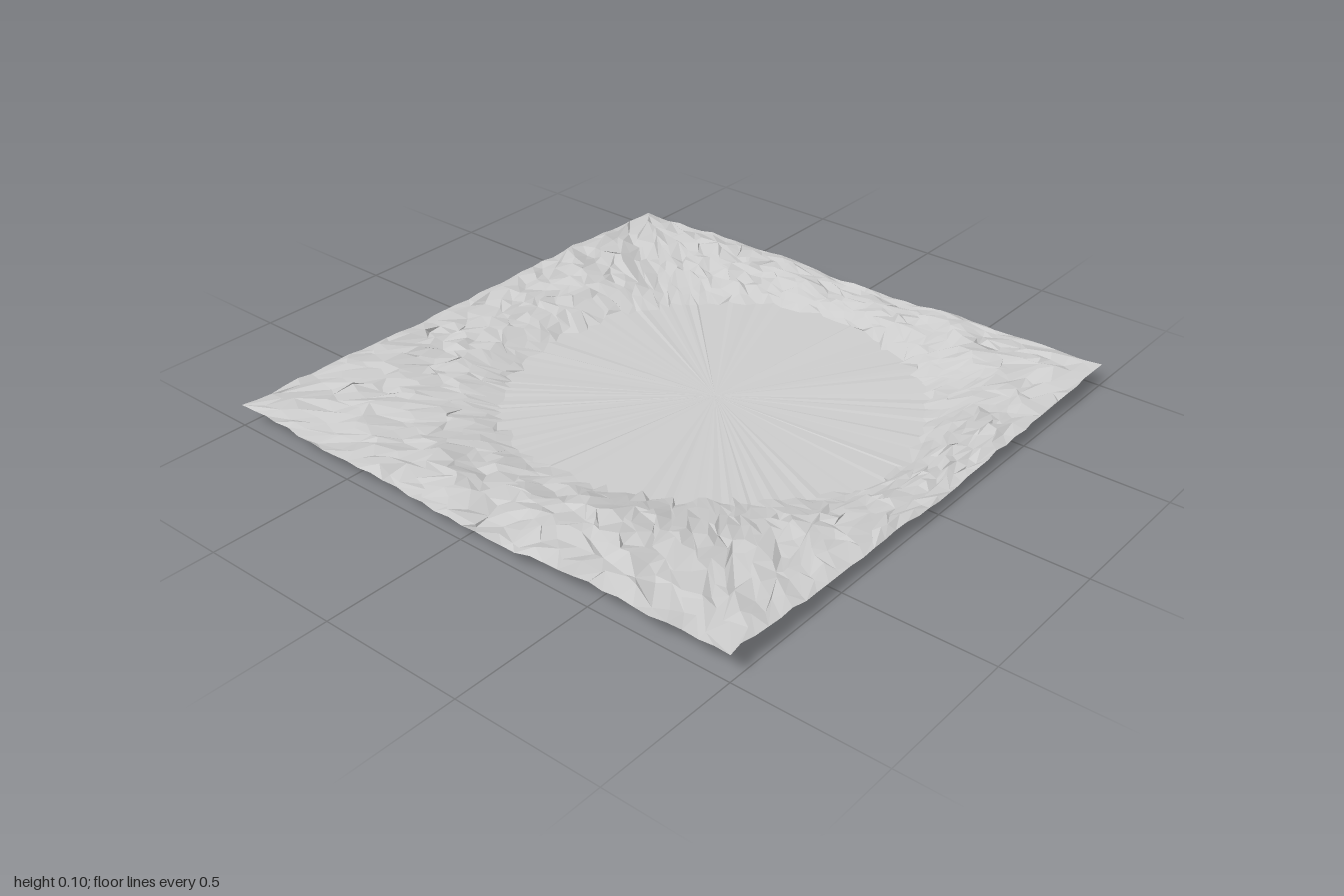
import * as THREE from 'three';

const SPOKES = 144, RINGS = 10;
const CENTRE = { x: 0.05, z: -0.12 };

// basin radius every 22.5 degrees, from +x towards +z
const basinRadius = [0.73, 0.7, 0.64, 0.65, 0.67, 0.72, 0.72, 0.68, 0.66, 0.66, 0.66, 0.68, 0.67, 0.68, 0.7, 0.7];
// border heights, every half unit along the square from (1, -1) by way of (1, 1)
const borderHeight = [0.08, 0.06, 0.05, 0.06, 0.085, 0.08, 0.048, 0.065, 0.075, 0.07, 0.065, 0.075, 0.055, 0.07, 0.065, 0.075];
// mean height from basin shore (0) to border (1), relative to the border height
const slope = [0.12, 0.5, 0.85, 1.05, 1.12, 1.1, 1];

// smooth lookup in a closed list, u in 0..1
function loopValue(list, u) {
  const n = list.length, f = (((u % 1) + 1) % 1) * n, i = Math.floor(f) % n;
  return THREE.MathUtils.lerp(list[i], list[(i + 1) % n], THREE.MathUtils.smoothstep(f - Math.floor(f), 0, 1));
}

function openValue(list, t) {
  const f = t * (list.length - 1), i = Math.min(Math.floor(f), list.length - 2);
  return THREE.MathUtils.lerp(list[i], list[i + 1], f - i);
}

function seeded(seed) {
  return () => {
    seed = (seed * 16807) % 2147483647;
    return seed / 2147483647 * 2 - 1;
  };
}

// point on the square border, u in 0..1
function borderPoint(u) {
  const f = (((u % 1) + 1) % 1) * 4, side = Math.floor(f), s = (f - side) * 2 - 1;
  return [[1, s], [-s, 1], [-1, -s], [s, -1]][side];
}

// broad hills with sharper crests
function hills(x, z) {
  const a = Math.sin(7 * x + 3 * z + 0.6) * Math.cos(6 * z - 2 * x);
  const b = 1 - 2 * Math.abs(Math.sin(9 * x - 7 * z + 2 * Math.sin(5 * z)));
  return 0.011 * a + 0.007 * b;
}

export function createModel() {
  const rand = seeded(4711);
  const positions = [], index = [];

  // rough rim: rings run from the basin shore out to the square border
  for (let r = 0; r <= RINGS; r++) {
    for (let i = 0; i < SPOKES; i++) {
      const onBorder = r === RINGS, onShore = r === 0;
      const corner = i % (SPOKES / 4) === 0;
      const u = (i + (onBorder ? 0 : rand() * 0.55)) / SPOKES;
      const t = onBorder ? 1 : onShore ? 0 : (r + rand() * 0.6) / RINGS;
      const [bx, bz] = borderPoint(u);
      const angle = Math.atan2(bz - CENTRE.z, bx - CENTRE.x);
      const radius = loopValue(basinRadius, angle / (2 * Math.PI)) + (onShore ? rand() * 0.025 : 0);
      let x = THREE.MathUtils.lerp(CENTRE.x + Math.cos(angle) * radius, bx, t);
      let z = THREE.MathUtils.lerp(CENTRE.z + Math.sin(angle) * radius, bz, t);
      if (onBorder && !corner) {
        const inset = 1 - Math.abs(rand()) * 0.009;
        if (Math.abs(x) === 1) x *= inset;
        else z *= inset;
      }
      const rough = onShore ? 0 : onBorder ? 0.35 : Math.min(1, t * 3);
      let y = loopValue(borderHeight, u) * openValue(slope, t);
      y += rough * (hills(x, z) + rand() * 0.011);
      if (onShore) y = 0.007 + rand() * 0.003;
      positions.push(x, THREE.MathUtils.clamp(y, 0.006, 0.105), z);
    }
  }
  for (let r = 0; r < RINGS; r++) {
    for (let i = 0; i < SPOKES; i++) {
      const j = (i + 1) % SPOKES;
      const a = r * SPOKES + i, b = r * SPOKES + j;
      const c = a + SPOKES, d = b + SPOKES;
      // alternate the diagonal so that the facets look irregular
      if (rand() > 0) index.push(a, b, c, b, d, c);
      else index.push(a, b, d, a, d, c);
    }
  }

  const material = new THREE.MeshStandardMaterial({ color: 0xcccccc, flatShading: true, side: THREE.DoubleSide });
  const makeMesh = (name, points, faces) => {
    const geometry = new THREE.BufferGeometry();
    geometry.setAttribute('position', new THREE.Float32BufferAttribute(points, 3));
    geometry.setIndex(faces);
    geometry.computeVertexNormals();
    const mesh = new THREE.Mesh(geometry, material);
    mesh.name = name;
    return mesh;
  };

  // nearly flat basin floor, a fan that shares the shore points
  const floorPoints = [...positions.slice(0, SPOKES * 3), CENTRE.x, 0, CENTRE.z];
  const floorFaces = [];
  for (let i = 0; i < SPOKES; i++) floorFaces.push(SPOKES, (i + 1) % SPOKES, i);

  const group = new THREE.Group();
  group.name = 'craterTerrain';
  group.add(makeMesh('rockyRim', positions, index), makeMesh('basinFloor', floorPoints, floorFaces));
  return group;
}
